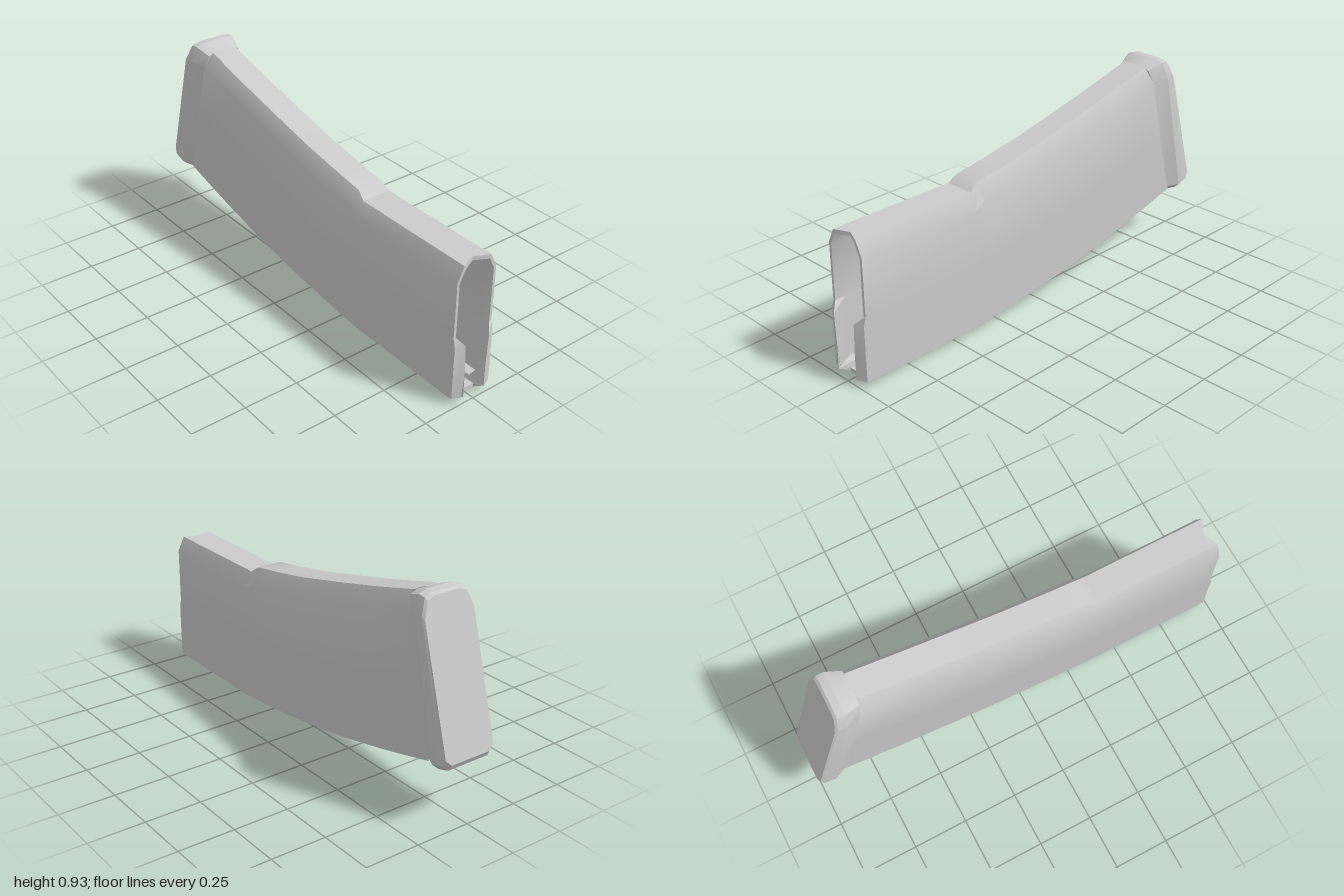
import * as THREE from 'three';
import { toCreasedNormals } from 'three/addons/utils/BufferGeometryUtils.js';

const material = new THREE.MeshStandardMaterial({ color: 0xcccccc });

// Closed ring of points on the plane through bottom [z, y] and top [z, y].
// The half profile lists [x, height, dz] from bottom centre to top centre.
function ring(bottom, top, profile) {
  const h = Math.hypot(top[0] - bottom[0], top[1] - bottom[1]);
  const half = profile(h).map(([x, v, dz = 0]) => new THREE.Vector3(
    x,
    THREE.MathUtils.lerp(bottom[1], top[1], v / h),
    THREE.MathUtils.lerp(bottom[0], top[0], v / h) + dz,
  ));
  const mirrored = half.slice(1, -1).reverse().map((p) => new THREE.Vector3(-p.x, p.y, p.z));
  return [...half, ...mirrored];
}

// Skin joining successive rings, with optional end caps.
function loft(name, rings, { capStart = false, capEnd = false, crease = 0.55 } = {}) {
  const n = rings[0].length;
  const positions = rings.flat().flatMap((p) => p.toArray());
  const index = [];
  for (let i = 0; i < rings.length - 1; i++) {
    for (let j = 0; j < n; j++) {
      const k = (j + 1) % n;
      const a = i * n + j, b = i * n + k, c = a + n, d = b + n;
      index.push(a, c, d, a, d, b);
    }
  }
  const cap = (i, flip) => {
    const centre = new THREE.Vector3();
    rings[i].forEach((p) => centre.addScaledVector(p, 1 / n));
    const m = positions.length / 3;
    positions.push(...centre.toArray());
    for (let j = 0; j < n; j++) {
      const a = i * n + j, b = i * n + ((j + 1) % n);
      index.push(m, ...(flip ? [b, a] : [a, b]));
    }
  };
  if (capStart) cap(0, false);
  if (capEnd) cap(rings.length - 1, true);
  const geometry = new THREE.BufferGeometry();
  geometry.setAttribute('position', new THREE.Float32BufferAttribute(positions, 3));
  geometry.setIndex(index);
  const mesh = new THREE.Mesh(toCreasedNormals(geometry, crease), material);
  mesh.name = name;
  return mesh;
}

// Outer body: narrow spine below, flat sides, chamfered top
const outer = (ledge, topX) => (h) => [
  [0, 0], [0.05, 0], [0.057, ledge - 0.004], [0.1, ledge], [0.1, 0.28], [0.1, 0.32],
  [0.1, h - 0.07], [topX, h], [0, h],
];
// Cavity: follows the body with a thin wall
const inner = (h) => [
  [0, 0.018], [0.046, 0.018], [0.05, 0.04], [0.088, 0.045], [0.088, 0.28], [0.088, 0.32],
  [0.088, h - 0.075], [0.058, h - 0.018], [0, h - 0.018],
];
// Front rim: lower lips project, spine and top centre are set back
const rimOuter = (h) => [
  [0, 0, -0.02], [0.05, 0, -0.02], [0.057, 0.026, 0.02], [0.1, 0.03, 0.01], [0.1, 0.28, 0.01],
  [0.1, 0.32, 0], [0.1, h - 0.065, 0], [0.068, h, 0], [0, h, -0.03],
];
const rimInner = (h) => [
  [0, 0.018, -0.02], [0.046, 0.018, -0.02], [0.056, 0.032, 0.03], [0.056, 0.15, 0.03],
  [0.062, 0.285, 0.03], [0.088, 0.32, 0], [0.088, h - 0.07, 0], [0.062, h - 0.018, 0],
  [0, h - 0.018, -0.03],
];

// Base plate section
const plate = (w, chamfer) => (h) => [
  [0, 0], [w * 0.79, 0], [w, 0.025], [w, h - chamfer], [w * 0.79, h - 0.012], [w * 0.47, h], [0, h],
];

export function createModel() {
  const group = new THREE.Group();
  group.name = 'curvedMagazine';

  // Sections along the curve: bottom [z, y], top [z, y], ledge height, top half width
  const stations = [
    [[0.92, 0], [0.92, 0.64], 0.028, 0.068],
    [[0.4, 0], [0.38, 0.64], 0.028, 0.068],
    [[0.32, 0.008], [0.34, 0.67], 0.027, 0.06],
    [[0.15, 0.025], [0.2, 0.692], 0.026, 0.06],
    [[-0.1, 0.06], [0, 0.728], 0.024, 0.06],
    [[-0.35, 0.105], [-0.23, 0.78], 0.022, 0.06],
    [[-0.62, 0.168], [-0.47, 0.837], 0.02, 0.06],
    [[-0.88, 0.237], [-0.71, 0.9], 0.018, 0.06],
  ];
  const front = [[0.97, 0], [0.97, 0.64]];

  // Hollow body: cavity from back to front, over the rim, then the outside to the back
  group.add(loft('body', [
    ...stations.map(([b, t]) => ring(b, t, inner)).reverse(),
    ring(...front, rimInner),
    ring(...front, rimOuter),
    ...stations.map(([b, t, ledge, topX]) => ring(b, t, outer(ledge, topX))),
  ], { capStart: true }));

  // Flared base plate closing the back
  group.add(loft('basePlate', [
    ring([-0.875, 0.245], [-0.71, 0.898], plate(0.1, 0.07)),
    ring([-0.93, 0.246], [-0.78, 0.925], plate(0.127, 0.08)),
    ring([-0.985, 0.263], [-0.813, 0.922], plate(0.127, 0.08)),
    ring([-1, 0.29], [-0.825, 0.912], plate(0.122, 0.08)),
  ], { capStart: true, capEnd: true, crease: 0.45 }));

  return group;
}
